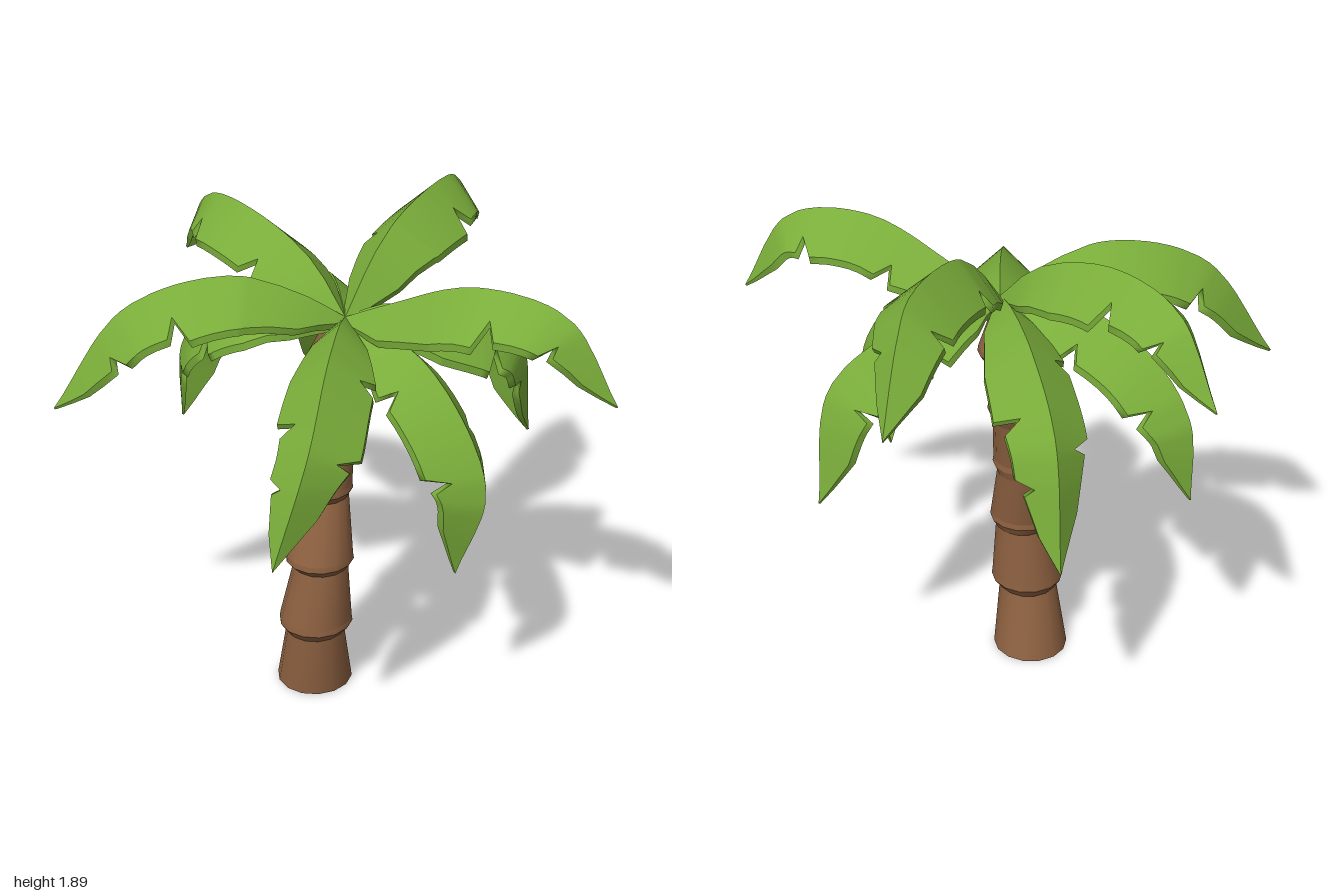
import * as THREE from 'three';

const leafGreen = new THREE.MeshStandardMaterial({ color: 0x7aad3a });
leafGreen.name = 'leaf green';
const barkBrown = new THREE.MeshStandardMaterial({ color: 0x8c6040 });
barkBrown.name = 'bark brown';

// Collects strips of quads; each strip is smooth inside and sharp at its borders
class Strips {
  constructor() { this.pos = []; this.idx = []; }
  add(a, b, closed = false) {
    const n = a.length, base = this.pos.length / 3;
    for (const p of [...a, ...b]) this.pos.push(p.x, p.y, p.z);
    for (let i = 0; i < (closed ? n : n - 1); i++) {
      const j = (i + 1) % n;
      this.idx.push(base + i, base + n + i, base + j, base + n + i, base + n + j, base + j);
    }
  }
  mesh(name, material) {
    const g = new THREE.BufferGeometry();
    g.setAttribute('position', new THREE.Float32BufferAttribute(this.pos, 3));
    g.setIndex(this.idx);
    g.computeVertexNormals();
    const m = new THREE.Mesh(g, material);
    m.name = name;
    return m;
  }
}

// Trunk rings: x, y, z, radius
const RINGS = [
  [-0.155, 0, 0.2, 0.147],
  [-0.122, 0.26, 0.24, 0.113], [-0.118, 0.3, 0.24, 0.142],
  [-0.1, 0.55, 0.228, 0.105], [-0.1, 0.585, 0.235, 0.131],
  [-0.122, 0.83, 0.175, 0.1], [-0.12, 0.865, 0.185, 0.12],
  [-0.12, 1.08, 0.135, 0.1], [-0.12, 1.125, 0.135, 0.12],
  [-0.09, 1.33, 0.112, 0.09], [-0.085, 1.375, 0.11, 0.115],
  [-0.07, 1.52, 0.12, 0.06],
];

function makeTrunk() {
  const sides = 14, s = new Strips();
  const ring = ([x, y, z, r]) => Array.from({ length: sides }, (_, i) => {
    const a = i / sides * Math.PI * 2;
    return new THREE.Vector3(x + r * Math.cos(a), y, z + r * Math.sin(a));
  });
  const flat = ([x, y, z]) => [x, y, z, 0];
  s.add(ring(flat(RINGS[0])), ring(RINGS[0]), true);
  for (let i = 0; i < RINGS.length - 1; i++) {
    const lo = RINGS[i], hi = RINGS[i + 1];
    if (i % 2) { // flared collar with a small upright rim
      const rim = [hi[0], hi[1] + 0.022, hi[2], hi[3] - 0.003];
      s.add(ring(lo), ring(hi), true);
      s.add(ring(hi), ring(rim), true);
    } else { // tapering segment
      const start = i ? [lo[0], lo[1] + 0.022, lo[2], lo[3] - 0.003] : lo;
      s.add(ring(start), ring(hi), true);
    }
  }
  const top = RINGS[RINGS.length - 1];
  s.add(ring(top), ring(flat(top)), true);
  return s.mesh('trunk', barkBrown);
}

// Notched half-width of the two sides of a leaf: position along leaf, width
const SIDE_A = [[0, 0.02], [0.12, 0.1], [0.3, 0.15], [0.48, 0.165], [0.515, 0.085], [0.55, 0.14],
  [0.735, 0.125], [0.76, 0.07], [0.785, 0.1], [0.9, 0.06], [1, 0]];
const SIDE_B = [[0, 0.02], [0.12, 0.1], [0.28, 0.15], [0.31, 0.1], [0.345, 0.15], [0.61, 0.15],
  [0.65, 0.085], [0.68, 0.13], [0.85, 0.085], [1, 0]];

function widthAt(profile, t) {
  const i = Math.max(1, profile.findIndex(p => p[0] >= t - 1e-6));
  const [t0, w0] = profile[i - 1], [t1, w1] = profile[i];
  return w0 + (w1 - w0) * (t - t0) / (t1 - t0);
}

const STATIONS = [...new Set([...SIDE_A, ...SIDE_B].map(p => p[0]).concat([0.06, 0.2, 0.4, 0.45, 0.95]))]
  .sort((a, b) => a - b);

// A leaf is a roof-shaped section swept along a drooping ridge
function makeLeaf(name, points, flip) {
  const curve = new THREE.CatmullRomCurve3(
    [[-0.03, 1.57, 0.15], ...points].map(p => new THREE.Vector3(...p)));
  const chord = curve.getPoint(0.8).sub(curve.getPoint(0)).setY(0).normalize();
  const side = new THREE.Vector3().crossVectors(chord, new THREE.Vector3(0, 1, 0));
  const top = { L: [], C: [], R: [] }, low = { L: [], C: [], R: [] };
  for (const t of STATIONS) {
    const p = curve.getPointAt(t);
    const normal = new THREE.Vector3().crossVectors(side, curve.getTangentAt(t)).normalize();
    const wA = widthAt(SIDE_A, t), wB = widthAt(SIDE_B, t);
    const w = { L: -(flip ? wA : wB), C: 0, R: flip ? wB : wA };
    const thick = 0.028 * Math.min(1, 0.3 + (1 - t) * 5);
    for (const k of ['L', 'C', 'R']) {
      const q = p.clone().addScaledVector(side, w[k]).addScaledVector(normal, -Math.abs(w[k]) * 0.9);
      top[k].push(q);
      low[k].push(q.clone().addScaledVector(normal, -thick));
    }
  }
  const s = new Strips();
  s.add(top.C, top.R);
  s.add(top.L, top.C);
  s.add(low.R, low.C);
  s.add(low.C, low.L);
  s.add(top.R, low.R);
  s.add(low.L, top.L);
  return s.mesh(name, leafGreen);
}

// Ridge points of each leaf after the shared crown point, and whether its sides are swapped
const LEAVES = [
  ['backLeaf', [[-0.01, 1.76, -0.02], [0, 1.85, -0.17], [-0.02, 1.88, -0.55], [-0.06, 1.8, -0.72], [-0.13, 1.58, -0.96]], false],
  ['leftLeaf', [[0.13, 1.65, 0.14], [0.49, 1.8, 0.13], [0.82, 1.75, 0.09], [1, 1.44, 0.04]], false],
  ['frontLeaf', [[0.04, 1.61, 0.3], [0.14, 1.56, 0.54], [0.24, 1.38, 0.81], [0.19, 1, 0.96]], false],
  ['frontRightLeaf', [[-0.15, 1.67, 0.25], [-0.35, 1.75, 0.4], [-0.65, 1.64, 0.62], [-0.89, 1.24, 0.77]], true],
  ['rightLeaf', [[-0.2, 1.74, 0.11], [-0.51, 1.84, 0.03], [-0.81, 1.79, -0.1], [-1, 1.5, -0.2]], false],
  ['lowerRightLeaf', [[-0.3, 1.6, 0.17], [-0.62, 1.47, 0.15], [-0.8, 1.25, 0.12], [-0.83, 0.93, 0.1]], true],
  ['backRightLeaf', [[-0.13, 1.6, 0.03], [-0.3, 1.56, -0.17], [-0.5, 1.38, -0.41], [-0.58, 0.91, -0.52]], false],
  ['backLeftLeaf', [[0.06, 1.6, 0.04], [0.21, 1.54, -0.15], [0.38, 1.37, -0.41], [0.39, 0.93, -0.51]], false],
  ['lowerLeftLeaf', [[0.24, 1.55, 0.19], [0.46, 1.4, 0.23], [0.62, 1.1, 0.26], [0.51, 0.73, 0.27]], true],
];

export function createModel() {
  const palm = new THREE.Group();
  palm.name = 'palmTree';
  palm.add(makeTrunk());
  const crown = new THREE.Group();
  crown.name = 'crown';
  for (const [name, points, flip] of LEAVES) crown.add(makeLeaf(name, points, flip));
  palm.add(crown);
  return palm;
}
